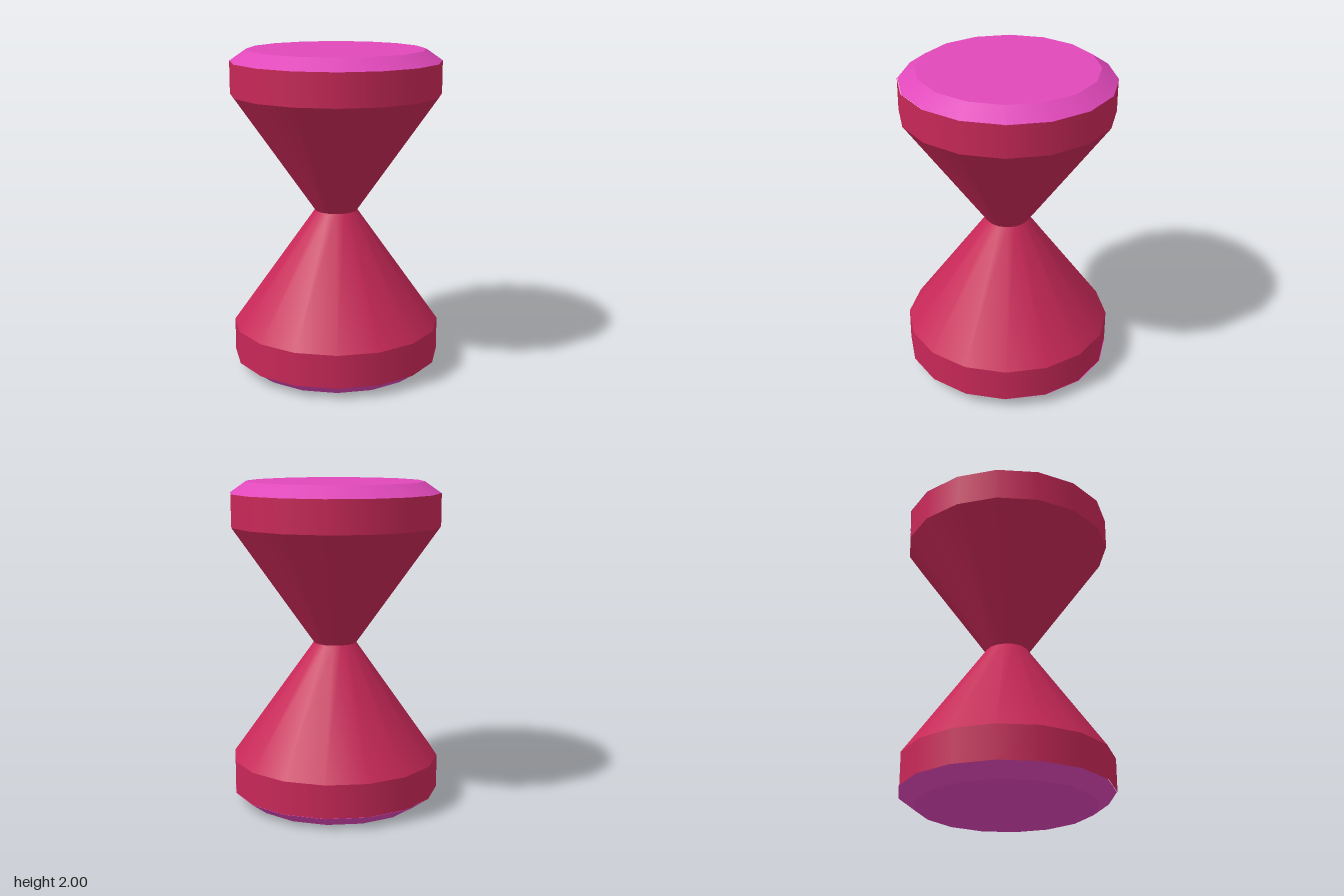
import * as THREE from 'three';

const SIDES = 16;

export function createModel() {
  const red = new THREE.MeshStandardMaterial({ color: 0xc82858 });
  red.name = 'crimson body';
  const pink = new THREE.MeshStandardMaterial({ color: 0xe048ba });
  pink.name = 'magenta cap';

  const model = new THREE.Group();
  model.name = 'hourglass';

  // One tapered 16-sided section between two heights
  function section(name, material, y0, y1, r0, r1, open) {
    const geometry = new THREE.CylinderGeometry(r1, r0, y1 - y0, SIDES, 1, open);
    const mesh = new THREE.Mesh(geometry, material);
    mesh.name = name;
    mesh.position.y = (y0 + y1) / 2;
    model.add(mesh);
    return mesh;
  }

  // Body: two rims and two cones meeting at the narrow waist
  section('lowerRim', red, 0.073, 0.28, 0.647, 0.647, true);
  section('lowerCone', red, 0.28, 1.003, 0.647, 0.133, true);
  section('upperCone', red, 1.003, 1.73, 0.133, 0.647, true);
  section('upperRim', red, 1.73, 1.93, 0.647, 0.647, true);

  // Bevelled end caps, seated very slightly off centre
  const caps = [
    section('bottomCap', pink, 0, 0.075, 0.545, 0.647, false),
    section('topCap', pink, 1.929, 2, 0.647, 0.545, false),
  ];
  for (const cap of caps) {
    cap.position.x = 0.003;
    cap.position.z = -0.002;
  }

  return model;
}
